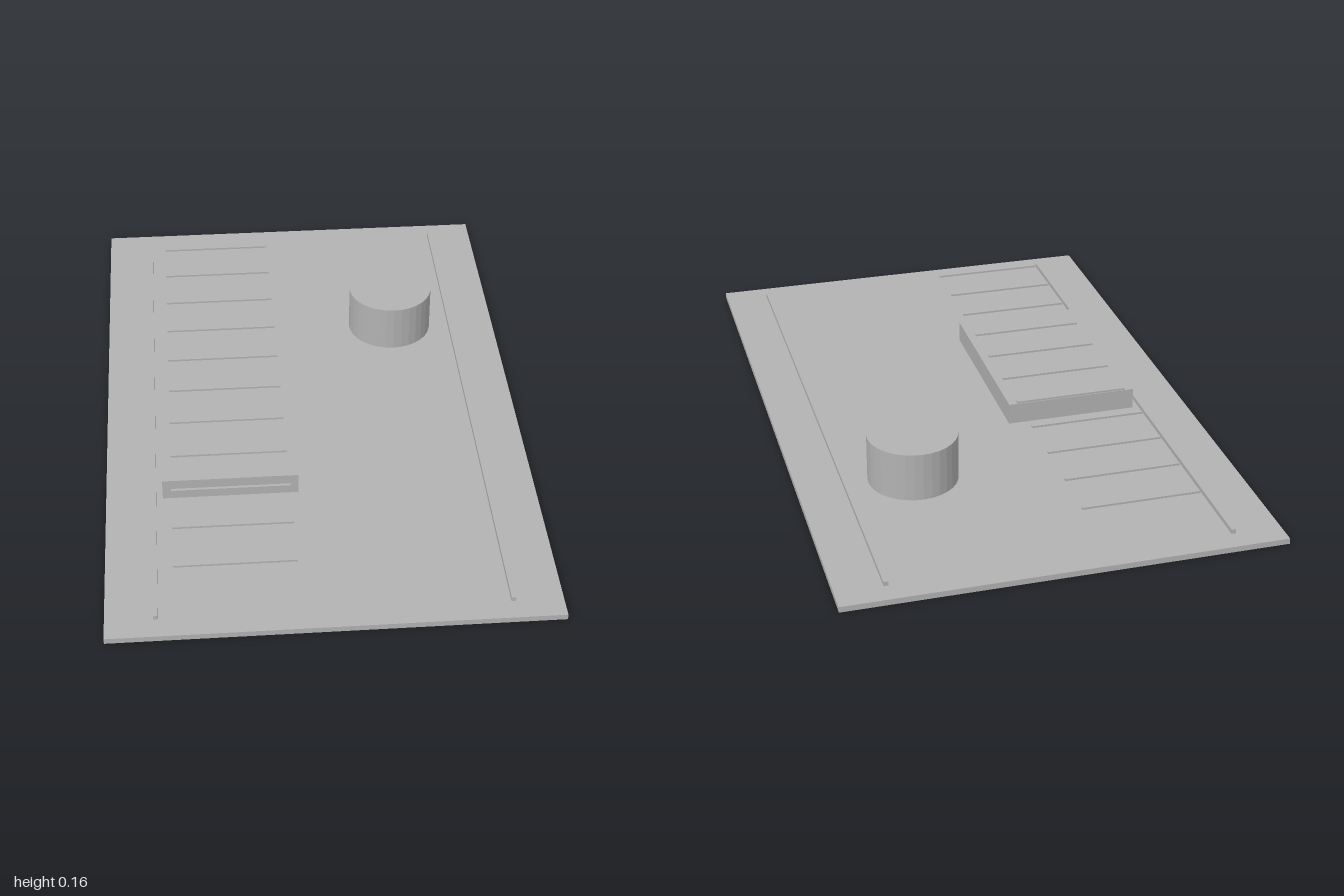
import * as THREE from 'three';

export function createModel() {
  const model = new THREE.Group();
  model.name = 'roofPanel';
  const grey = new THREE.MeshStandardMaterial({ color: 0xb2b2b2 });
  grey.name = 'plainGrey';

  const add = (name, geometry, x, y, z) => {
    const mesh = new THREE.Mesh(geometry, grey);
    mesh.name = name;
    mesh.position.set(x, y, z);
    model.add(mesh);
  };
  // Box standing on height y
  const box = (name, w, h, d, x, y, z) =>
    add(name, new THREE.BoxGeometry(w, h, d), x, y + h / 2, z);

  const top = 0.017;

  // Flat base slab
  box('baseSlab', 1.267, top, 2, 0, 0, 0);

  // Long rails near both edges
  for (const side of [-1, 1])
    box(side < 0 ? 'rightRail' : 'leftRail', 0.013, 0.013, 1.87, side * 0.493, top, 0);

  // Raised rectangular block
  box('block', 0.4, 0.065, 0.6, -0.267, top, 0.13);

  // Round drum
  const drum = new THREE.CylinderGeometry(0.133, 0.133, 0.147, 32).toNonIndexed();
  drum.computeVertexNormals();
  add('drum', drum, 0.292, top + 0.0735, -0.403);

  // Row of thin slats level with the top of the block
  for (let i = 0; i < 11; i++)
    box('slat' + (i + 1), 0.347, 0.006, 0.009, -0.267, 0.082, -0.803 + i * 0.16);

  return model;
}
